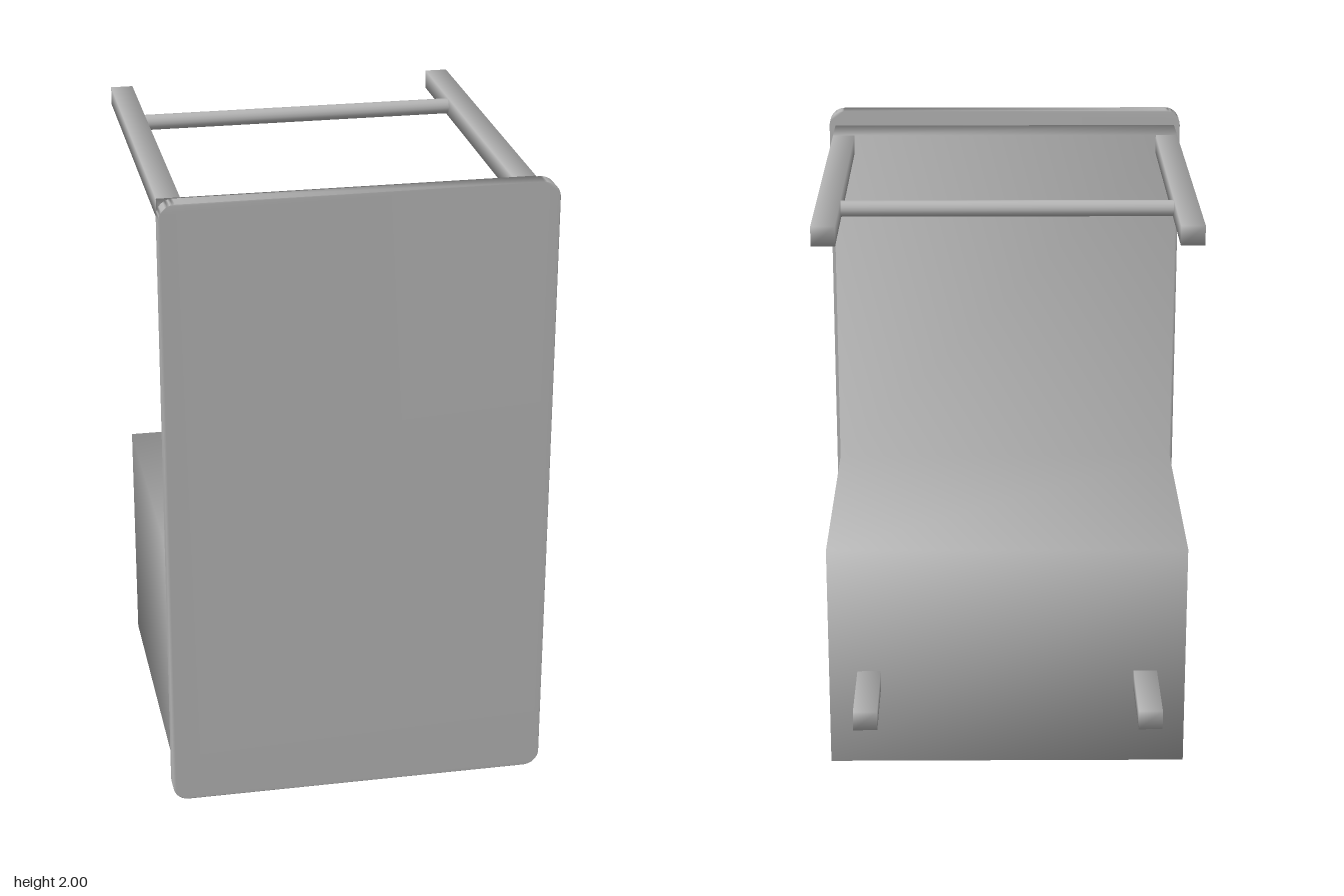
import * as THREE from 'three';
import { mergeVertices } from 'three/addons/utils/BufferGeometryUtils.js';

// Weld corners so the normals blend softly across the edges
function soften(geometry) {
  geometry.deleteAttribute('normal');
  geometry.deleteAttribute('uv');
  const welded = mergeVertices(geometry, 1e-4);
  welded.computeVertexNormals();
  return welded;
}

// Box given by its minimum and maximum corners
function softBox(min, max) {
  const size = max.map((v, i) => v - min[i]);
  const box = new THREE.BoxGeometry(...size);
  box.translate(...max.map((v, i) => (v + min[i]) / 2));
  return soften(box);
}

function roundedRect(x0, y0, x1, y1, r) {
  const s = new THREE.Shape();
  s.moveTo(x0 + r, y0);
  s.lineTo(x1 - r, y0);
  s.absarc(x1 - r, y0 + r, r, -Math.PI / 2, 0);
  s.lineTo(x1, y1 - r);
  s.absarc(x1 - r, y1 - r, r, 0, Math.PI / 2);
  s.lineTo(x0 + r, y1);
  s.absarc(x0 + r, y1 - r, r, Math.PI / 2, Math.PI);
  s.lineTo(x0, y0 + r);
  s.absarc(x0 + r, y0 + r, r, Math.PI, Math.PI * 1.5);
  return s;
}

export function createModel() {
  const model = new THREE.Group();
  const grey = new THREE.MeshStandardMaterial({ color: 0xb4b4b4 });
  grey.name = 'plain grey';

  function add(name, geometry) {
    const mesh = new THREE.Mesh(geometry, grey);
    mesh.name = name;
    model.add(mesh);
  }

  // Front panel with rounded corners
  const panel = new THREE.ExtrudeGeometry(roundedRect(-0.6, 0, 0.6, 2, 0.05), {
    depth: 0.055, bevelEnabled: false, curveSegments: 5,
  });
  panel.translate(0, 0, 0.637);
  add('frontPanel', soften(panel));

  // L-shaped body: tall slab behind the panel and deep lower box, drawn in (z, y)
  const profile = new THREE.Shape([
    [-0.39, 0.05], [0.637, 0.05], [0.637, 1.95], [0.485, 1.95], [0.485, 0.8], [-0.39, 0.8],
  ].map(([z, y]) => new THREE.Vector2(z, y)));
  const body = new THREE.ExtrudeGeometry(profile, { depth: 1.16, bevelEnabled: false });
  body.rotateY(-Math.PI / 2);
  body.translate(0.58, 0, 0);
  add('body', soften(body));

  // Upper rails and lower pegs, mirrored left and right
  for (const [side, label] of [[1, 'left'], [-1, 'right']]) {
    const span = (a, b) => (side > 0 ? [a, b] : [-b, -a]);
    const [r0, r1] = span(0.508, 0.58);
    add(label + 'UpperRail', softBox([r0, 1.89, -0.692], [r1, 1.95, 0.485]));
    const [p0, p1] = span(0.412, 0.488);
    add(label + 'LowerPeg', softBox([p0, 0.312, -0.692], [p1, 0.375, -0.39]));
  }

  // Round crossbar between the upper rails
  const bar = new THREE.CylinderGeometry(0.025, 0.025, 1.02, 16);
  bar.rotateZ(Math.PI / 2);
  bar.translate(0, 1.92, -0.37);
  add('crossbar', bar);

  return model;
}
